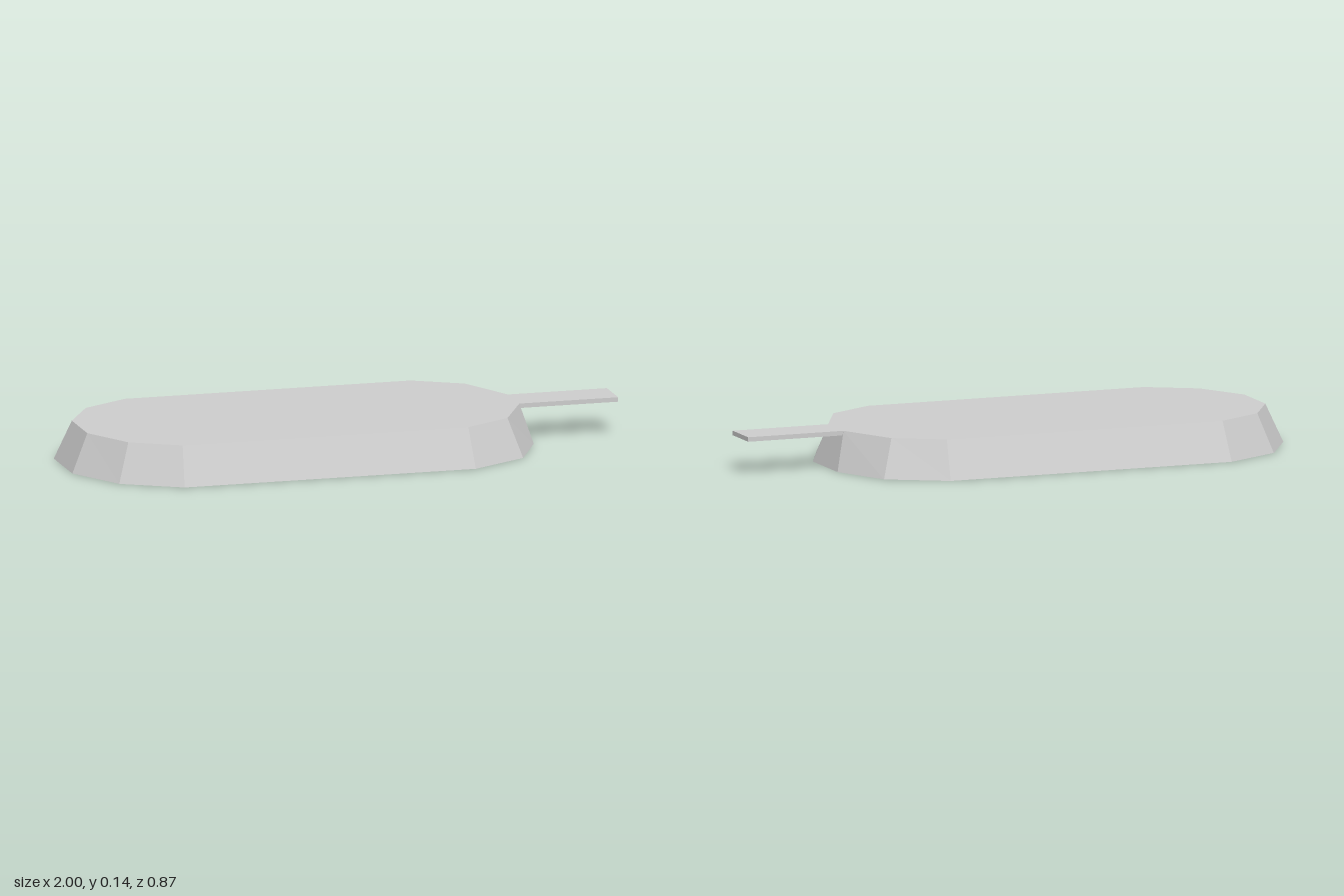
import * as THREE from 'three';

const HEIGHT = 0.137;

// Half outlines [x, z] from the handle end to the far end
const TOP = [[0.64, 0.073], [0.54, 0.275], [0.37, 0.373], [-0.67, 0.373], [-0.84, 0.275], [-0.94, 0.1]];
const RIM = [[0.68, 0.117], [0.585, 0.318], [0.38, 0.434], [-0.68, 0.434], [-0.885, 0.318], [-1, 0.12]];

// Mirror a half outline across z = 0 into a closed loop at height y
function loop(half, y) {
  const other = half.map(([x, z]) => [x, -z]).reverse();
  return [...half, ...other].map(([x, z]) => new THREE.Vector3(x, y, z));
}

function meshFrom(name, triangles, material) {
  const geometry = new THREE.BufferGeometry().setFromPoints(triangles);
  geometry.computeVertexNormals();
  const mesh = new THREE.Mesh(geometry, material);
  mesh.name = name;
  return mesh;
}

export function createModel() {
  const group = new THREE.Group();
  group.name = 'shallowCover';

  const grey = new THREE.MeshStandardMaterial({ color: 0xcccccc, side: THREE.DoubleSide, flatShading: true });
  grey.name = 'grey';

  const top = loop(TOP, HEIGHT);
  const rim = loop(RIM, 0);
  const n = top.length;

  // Flat top plate
  const plate = [];
  for (let i = 1; i < n - 1; i++) plate.push(top[0], top[i + 1], top[i]);
  group.add(meshFrom('topPlate', plate, grey));

  // Sloping walls, open underneath
  const walls = [];
  for (let i = 0; i < n; i++) {
    const j = (i + 1) % n;
    walls.push(rim[i], top[i], top[j], rim[i], top[j], rim[j]);
  }
  group.add(meshFrom('slopedWalls', walls, grey));

  // Thin flat handle, flush with the top
  const handle = new THREE.Mesh(new THREE.BoxGeometry(0.36, 0.016, 0.146), grey);
  handle.name = 'handle';
  handle.position.set(0.82, HEIGHT - 0.008, 0);
  group.add(handle);

  return group;
}
